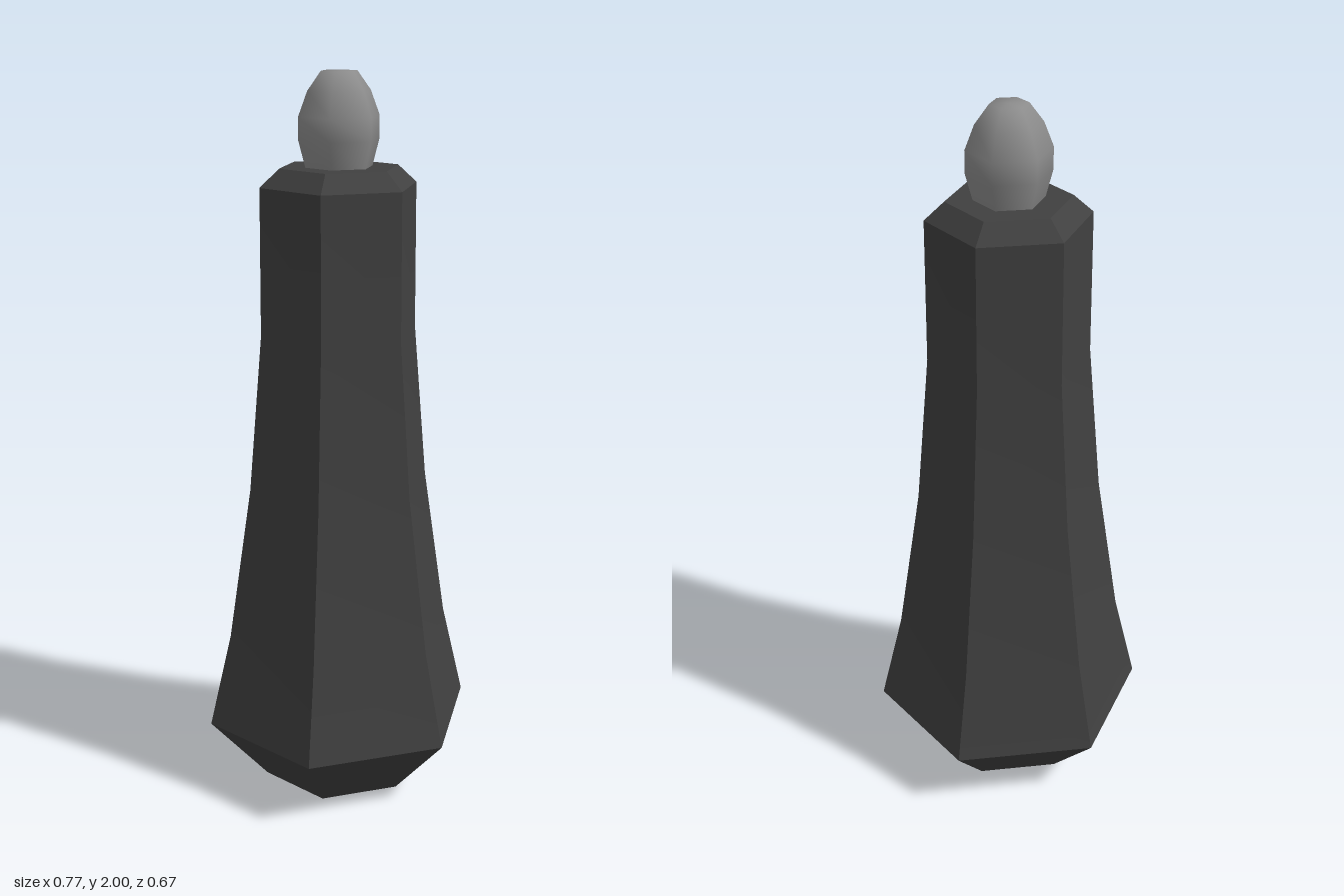
import * as THREE from 'three';
import { toCreasedNormals } from 'three/addons/utils/BufferGeometryUtils.js';

// Six-sided turned shape with corners on the x axis; profile is [radius, y] from bottom to top
function hexLathe(profile) {
  const points = profile.map(([r, y]) => new THREE.Vector2(r, y));
  return new THREE.LatheGeometry(points, 6, Math.PI / 6);
}

export function createModel() {
  const model = new THREE.Group();
  model.name = 'hexagonalHandle';

  // Flared body: bevelled foot, concave taper, straight neck and bevelled shoulder
  const bodyGeometry = toCreasedNormals(hexLathe([
    [0, 0], [0.22, 0], [0.385, 0.185], [0.322, 0.45], [0.257, 0.88],
    [0.22, 1.31], [0.218, 1.706], [0.165, 1.754], [0, 1.754],
  ]), Math.PI / 6);
  const body = new THREE.Mesh(bodyGeometry, new THREE.MeshStandardMaterial({ color: 0x404040 }));
  body.name = 'body';

  // Smooth bud-shaped tip with a small flat top
  const tipGeometry = hexLathe([
    [0.092, 1.75], [0.112, 1.825], [0.112, 1.885], [0.087, 1.95], [0.05, 2], [0, 2],
  ]);
  const tip = new THREE.Mesh(tipGeometry, new THREE.MeshStandardMaterial({ color: 0x8c8c8c }));
  tip.name = 'tip';

  model.add(body, tip);
  return model;
}
